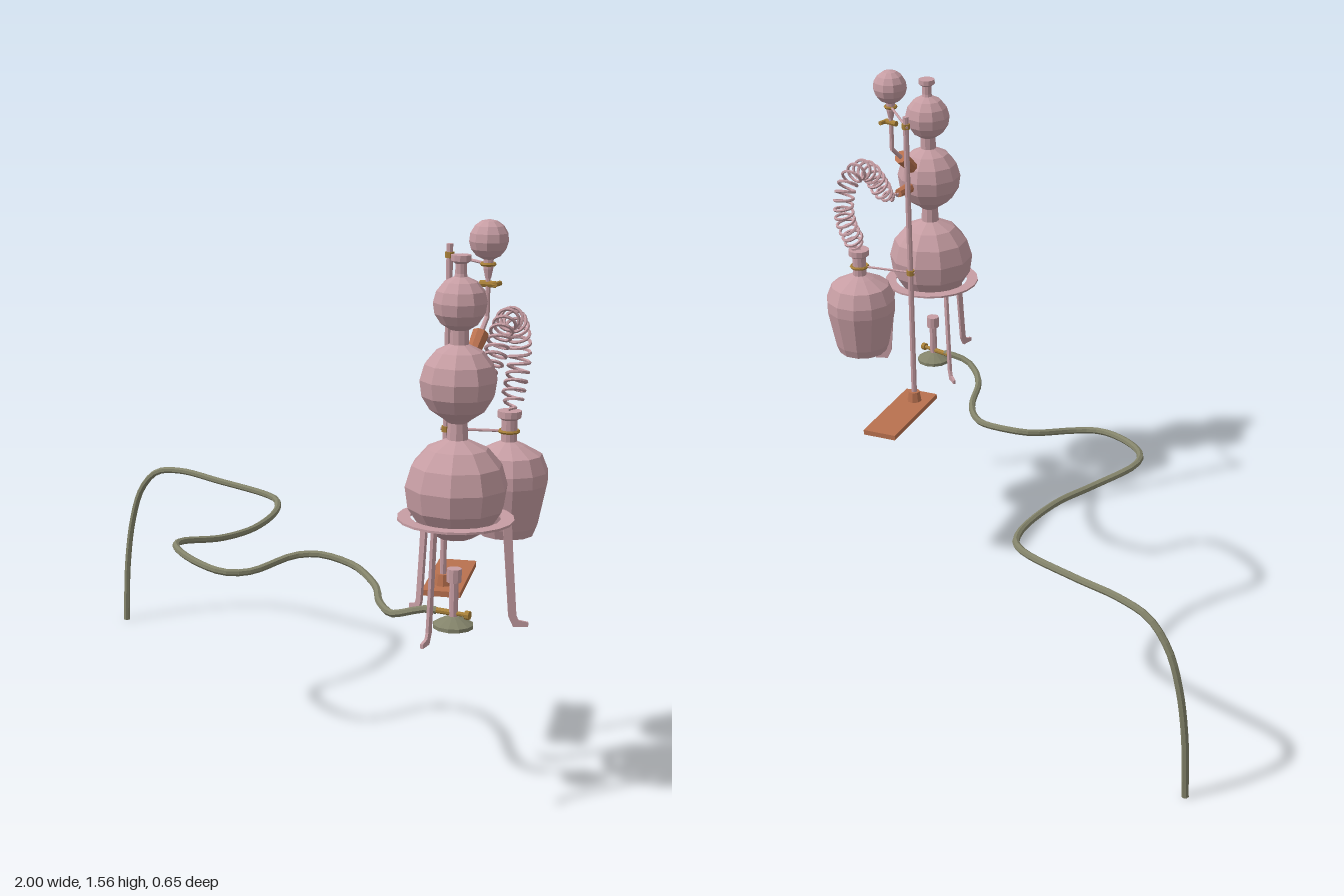
import * as THREE from 'three';

const V = (x, y, z) => new THREE.Vector3(x, y, z);

export function createModel() {
  const model = new THREE.Group();
  const mat = (name, color) => new THREE.MeshStandardMaterial({ name, color, flatShading: true });
  const glass = mat('rose glass', 0xc69da3);
  const copper = mat('copper', 0xb9714f);
  const olive = mat('olive rubber', 0x83836a);
  const brass = mat('brass', 0xa88038);

  const add = (parent, name, geo, m) => {
    const mesh = new THREE.Mesh(geo, m);
    mesh.name = name;
    parent.add(mesh);
    return mesh;
  };
  // round bar from a to b
  const bar = (parent, name, a, b, ra, rb, m, sides = 8) => {
    const mesh = add(parent, name, new THREE.CylinderGeometry(rb, ra, a.distanceTo(b), sides), m);
    mesh.position.copy(a).add(b).multiplyScalar(0.5);
    mesh.quaternion.setFromUnitVectors(V(0, 1, 0), b.clone().sub(a).normalize());
  };
  const lathe = (parent, name, pts, m, sides = 10) =>
    add(parent, name, new THREE.LatheGeometry(pts.map(p => new THREE.Vector2(...p)), sides), m);
  // bulb outline between two polar angles, measured from the bottom
  const arc = (y, r, from, to, n) => Array.from({ length: n + 1 }, (_, i) => {
    const a = THREE.MathUtils.degToRad(from + (to - from) * i / n);
    return [r * Math.sin(a), y - r * Math.cos(a)];
  });

  // apparatus: local +x runs from the still to the receiving flask
  const rig = new THREE.Group();
  rig.name = 'apparatus';
  rig.position.set(0.844, 0, 0.128);
  rig.rotation.y = 1.91;
  model.add(rig);

  // three stacked bulbs with a flanged neck
  lathe(rig, 'stillColumn', [
    [0, 0.75], ...arc(0.878, 0.136, 20, 168, 6),
    [0.026, 1.055], ...arc(1.16, 0.102, 22, 166, 6),
    ...arc(1.363, 0.071, 20, 166, 6),
    [0.015, 1.44], [0.015, 1.465], [0.026, 1.472], [0.026, 1.487], [0, 1.487],
  ], glass);

  // receiving flask
  const flask = lathe(rig, 'receivingFlask', [
    [0, 0.674], [0.076, 0.674], [0.086, 0.7], [0.11, 0.82], [0.11, 0.855], [0.092, 0.9],
    [0.045, 0.925], [0.022, 0.935], [0.022, 0.995], [0.033, 1.002], [0.033, 1.02], [0, 1.02],
  ], glass, 12);
  flask.position.x = 0.345;

  // dropping funnel and its bent tube
  const funnel = lathe(rig, 'droppingFunnel', [
    [0, 1.405], [0.008, 1.405], [0.013, 1.43], ...arc(1.506, 0.053, 15, 180, 7),
  ], glass);
  funnel.position.x = 0.173;
  bar(rig, 'funnelTube', V(0.173, 1.3, 0), V(0.173, 1.42, 0), 0.007, 0.007, glass);
  bar(rig, 'funnelTubeBend', V(0.125, 1.257, 0), V(0.173, 1.303, 0), 0.007, 0.007, glass);
  bar(rig, 'stopcock', V(0.173, 1.39, -0.022), V(0.173, 1.39, 0.022), 0.009, 0.009, brass);
  bar(rig, 'stopcockHandle', V(0.165, 1.39, 0.022), V(0.2, 1.39, 0.022), 0.007, 0.007, brass);

  // copper side necks on the middle bulb
  bar(rig, 'angledStopper', V(0.074, 1.21, 0), V(0.133, 1.266, 0), 0.018, 0.023, copper);
  bar(rig, 'sideStopper', V(0.09, 1.152, 0), V(0.15, 1.148, 0), 0.018, 0.014, copper);

  // condenser coil winding around an arched centre line
  const spine = new THREE.CatmullRomCurve3([
    [0.145, 1.148], [0.19, 1.148], [0.232, 1.19], [0.272, 1.25], [0.322, 1.278],
    [0.372, 1.258], [0.402, 1.2], [0.398, 1.13], [0.368, 1.065], [0.345, 1.01],
  ].map(([x, y]) => V(x, y, 0)));
  const turns = 22;
  const coilPoints = [];
  for (let i = 0; i <= turns * 10; i++) {
    const t = i / (turns * 10);
    const tan = spine.getTangentAt(t);
    const a = i / 10 * Math.PI * 2;
    const r = 0.029 * Math.min(1, t * 6, (1 - t) * 12);
    coilPoints.push(spine.getPointAt(t).add(V(-tan.y * r * Math.cos(a), tan.x * r * Math.cos(a), r * Math.sin(a))));
  }
  const coil = new THREE.CatmullRomCurve3(coilPoints);
  coil.arcLengthDivisions = 900;
  add(rig, 'condenserCoil', new THREE.TubeGeometry(coil, 330, 0.0048, 5), glass);

  // tripod: flat ring and three thin legs with turned-out feet
  const tripod = new THREE.Group();
  tripod.name = 'tripod';
  tripod.position.set(0.844, 0, 0.128);
  model.add(tripod);
  lathe(tripod, 'tripodRing', [[0.118, 0.797], [0.153, 0.797], [0.153, 0.803], [0.118, 0.803], [0.118, 0.797]], glass, 20);
  const legShape = new THREE.Shape([
    [0.122, 0.8], [0.146, 0.8], [0.156, 0.66], [0.166, 0.535], [0.172, 0.52], [0.198, 0.514],
    [0.198, 0.502], [0.158, 0.502], [0.145, 0.53], [0.134, 0.66],
  ].map(p => new THREE.Vector2(...p)));
  const legGeo = new THREE.ExtrudeGeometry(legShape, { depth: 0.008, bevelEnabled: false }).translate(0, 0, -0.004);
  for (const deg of [-50, 70, 190])
    add(tripod, 'tripodLeg', legGeo, glass).rotation.y = -THREE.MathUtils.degToRad(deg);

  // burner
  const burner = new THREE.Group();
  burner.name = 'burner';
  burner.position.copy(tripod.position);
  model.add(burner);
  lathe(burner, 'burnerBase', [[0, 0.502], [0.054, 0.502], [0.054, 0.512], [0.03, 0.525], [0.016, 0.532], [0, 0.535]], olive, 12);
  bar(burner, 'burnerTube', V(0, 0.53, 0), V(0, 0.635, 0), 0.012, 0.012, glass);
  bar(burner, 'burnerHead', V(0, 0.627, 0), V(0, 0.663, 0), 0.02, 0.02, glass, 10);
  bar(burner, 'gasInlet', V(-0.06, 0.541, 0.022), V(0, 0.541, 0), 0.008, 0.008, brass);
  bar(burner, 'gasValve', V(0, 0.541, 0), V(0.035, 0.541, -0.012), 0.006, 0.006, brass);
  bar(burner, 'valveKnob', V(0.033, 0.541, -0.011), V(0.045, 0.541, -0.015), 0.012, 0.012, brass);

  // support stand
  const stand = new THREE.Group();
  stand.name = 'stand';
  model.add(stand);
  const base = add(stand, 'standBase', new THREE.BoxGeometry(0.313, 0.016, 0.108), copper);
  base.position.set(0.547, 0.508, -0.166);
  base.rotation.y = -Math.atan2(0.256, 0.18);
  const sx = 0.596, sz = -0.088;
  bar(stand, 'standBoss', V(sx, 0.514, sz), V(sx, 0.548, sz), 0.024, 0.018, copper);
  bar(stand, 'standRod', V(sx, 0.53, sz), V(sx, 1.472, sz), 0.009, 0.009, glass);

  // clamps: thin arm, brass hub on the rod and a ring round the neck
  for (const [y, x, z, r] of [[1.442, 0.786, -0.035, 0.017], [0.963, 0.729, -0.197, 0.026]]) {
    const end = V(x, y, z), hub = V(sx, y, sz);
    const dir = end.clone().sub(hub).normalize();
    bar(stand, 'clampArm', hub.clone().addScaledVector(dir, -0.015), end.clone().addScaledVector(dir, -r), 0.004, 0.004, glass, 6);
    bar(stand, 'clampHub', V(sx, y - 0.008, sz), V(sx, y + 0.008, sz), 0.013, 0.013, brass);
    const ring = add(stand, 'clampRing', new THREE.TorusGeometry(r, 0.005, 5, 12), brass);
    ring.position.copy(end);
    ring.rotation.x = Math.PI / 2;
  }

  // long gas hose trailing across the bench and over its edge
  const hose = new THREE.CatmullRomCurve3([
    [-0.985, 0, -0.157], [-0.99, 0.2, -0.17], [-0.976, 0.36, -0.185], [-0.943, 0.47, -0.2],
    [-0.88, 0.538, -0.218], [-0.785, 0.557, -0.243], [-0.62, 0.547, -0.278], [-0.425, 0.535, -0.312],
    [-0.36, 0.53, -0.303], [-0.305, 0.522, -0.26], [-0.252, 0.515, -0.182], [-0.197, 0.511, -0.05],
    [-0.18, 0.514, 0.083], [-0.174, 0.535, 0.24], [-0.13, 0.536, 0.288], [-0.01, 0.525, 0.313],
    [0.1, 0.514, 0.293], [0.142, 0.514, 0.233], [0.166, 0.538, 0.083], [0.217, 0.542, 0.03],
    [0.323, 0.528, 0], [0.404, 0.516, 0.02], [0.484, 0.511, 0.062], [0.59, 0.511, 0.15],
    [0.68, 0.512, 0.192], [0.73, 0.528, 0.19], [0.765, 0.54, 0.165], [0.8, 0.541, 0.146],
  ].map(p => V(...p)));
  add(model, 'gasHose', new THREE.TubeGeometry(hose, 90, 0.0105, 7), olive);
  // cap the hanging end
  const tip = hose.getPointAt(0);
  bar(model, 'hoseEnd', tip, tip.clone().addScaledVector(hose.getTangentAt(0), 0.002), 0.0105, 0.0105, olive, 7);
  return model;
}
